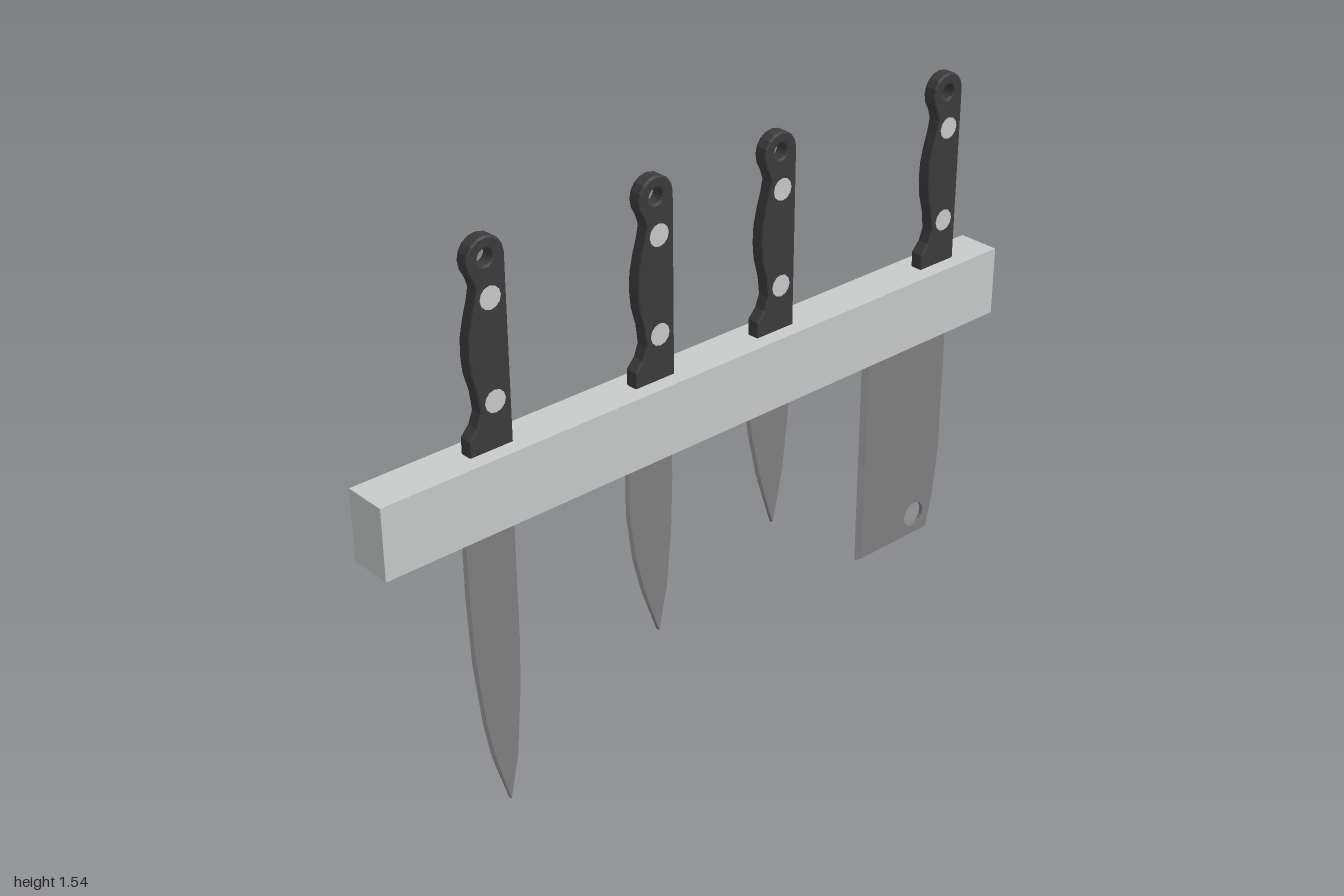
import * as THREE from 'three';

const material = (name, color, side = THREE.FrontSide) => {
  const m = new THREE.MeshStandardMaterial({ color, side });
  m.name = name;
  return m;
};

// Extrude a (z, y) outline symmetrically about x = 0
function slab(shape, thickness, bevel = 0) {
  const geometry = new THREE.ExtrudeGeometry(shape, {
    depth: thickness - 2 * bevel, curveSegments: 8,
    bevelEnabled: bevel > 0, bevelThickness: bevel, bevelSize: bevel,
    bevelOffset: -bevel, bevelSegments: 2,
  });
  return geometry.translate(0, 0, bevel - thickness / 2).rotateY(-Math.PI / 2);
}

function circleHole(z, y, r) {
  return new THREE.Path().absarc(z, y, r, 0, Math.PI * 2, true);
}

// Ground cutting edge: a thin wedge between the edge line and the blade body
function wedge(edge, inner, half) {
  const p = [];
  for (let i = 0; i < edge.length - 1; i++) {
    for (const s of [1, -1]) {
      const a = [0, edge[i][1], edge[i][0]], b = [0, edge[i + 1][1], edge[i + 1][0]];
      const c = [s * half, inner[i + 1][1], inner[i + 1][0]], d = [s * half, inner[i][1], inner[i][0]];
      const quad = s > 0 ? [a, b, c, a, c, d] : [a, c, b, a, d, c];
      quad.forEach(v => p.push(...v));
    }
  }
  const geometry = new THREE.BufferGeometry();
  geometry.setAttribute('position', new THREE.Float32BufferAttribute(p, 3));
  geometry.computeVertexNormals();
  return geometry;
}

// Handle outline: distance forward from the spine, height
function handleShape() {
  const shape = new THREE.Shape();
  shape.moveTo(0, 1.008);
  shape.lineTo(0, 1.49);
  shape.absarc(0.053, 1.487, 0.053, 0, Math.PI, false);
  return shape;
}

function makeHandleGeometry() {
  const front = [[0.123, 1.008], [0.123, 1.052], [0.1, 1.078], [0.088, 1.11], [0.094, 1.16],
    [0.108, 1.21], [0.112, 1.255], [0.11, 1.3], [0.1, 1.345], [0.088, 1.385],
    [0.082, 1.415], [0.09, 1.44], [0.102, 1.462]];
  const top = [];
  for (let i = 0; i <= 8; i++) {
    const a = Math.PI * i / 8;
    top.push([0.053 + 0.053 * Math.cos(a), 1.485 + 0.053 * Math.sin(a)]);
  }
  const outline = [...front, ...top, [0, 1.008]];
  const shape = new THREE.Shape(outline.map(([z, y]) => new THREE.Vector2(z, y)));
  shape.holes.push(circleHole(0.054, 1.487, 0.02));
  return slab(shape, 0.036, 0.005);
}

// Blade outlines from the top down, measured forward from the spine
const TOP = 1.0;
const knives = [
  { name: 'carvingKnife', z: 0.601, bevel: 0.008,
    edge: [[0.148, TOP], [0.148, 0.64], [0.14, 0.45], [0.119, 0.26], [0.098, 0.15], [0.049, 0]],
    spine: [[0.022, 0.125], [0.006, 0.31], [0, 0.45], [0, TOP]] },
  { name: 'chefKnife', z: 0.11, bevel: 0.008,
    edge: [[0.147, TOP], [0.147, 0.66], [0.129, 0.525], [0.102, 0.42], [0.048, 0.28]],
    spine: [[0.021, 0.405], [0.005, 0.57], [0, 0.71], [0, TOP]] },
  { name: 'paringKnife', z: -0.286, bevel: 0.008,
    edge: [[0.147, TOP], [0.147, 0.82], [0.134, 0.73], [0.107, 0.61], [0.048, 0.44]],
    spine: [[0.016, 0.59], [0, 0.75], [0, TOP]] },
  { name: 'cleaver', z: -0.876, bevel: 0.022, hole: [0.088, 0.24, 0.037],
    edge: [[0.315, TOP], [0.315, 0.18]],
    spine: [[0.035, 0.18], [0.014, 0.285], [0, 0.42], [0, TOP]] },
];

export function createModel() {
  const model = new THREE.Group();
  model.name = 'knifeRack';
  const rackGrey = material('rackGrey', 0xc8cbca);
  const steel = material('bladeSteel', 0x808080, THREE.DoubleSide);
  const black = material('handleBlack', 0x3c3c3c);
  const rivetGrey = material('rivetGrey', 0xc8cbca);

  const add = (parent, name, geometry, mat) => {
    const mesh = new THREE.Mesh(geometry, mat);
    mesh.name = name;
    parent.add(mesh);
    return mesh;
  };

  // Magnetic holder bar
  add(model, 'holderBar', new THREE.BoxGeometry(0.118, 0.19, 2), rackGrey).position.y = 0.915;

  const handle = makeHandleGeometry();
  const rivet = new THREE.CylinderGeometry(0.029, 0.029, 0.039, 12).rotateZ(Math.PI / 2);
  const thickness = 0.011;

  for (const k of knives) {
    const knife = new THREE.Group();
    knife.name = k.name;
    knife.position.z = k.z;
    model.add(knife);

    // Blade body with its ground edge; the bevel vanishes at a pointed tip
    const last = k.edge.length - 1;
    const pointed = k.name !== 'cleaver';
    const inner = k.edge.map(([z, y], i) => [z - (pointed && i === last ? 0 : k.bevel), y]);
    const shape = new THREE.Shape([...inner, ...k.spine].map(([z, y]) => new THREE.Vector2(z, y)));
    if (k.hole) shape.holes.push(circleHole(...k.hole));
    add(knife, 'blade', slab(shape, thickness), steel);
    add(knife, 'cuttingEdge', wedge(k.edge, inner, thickness / 2), steel);

    // Handle with two rivets
    add(knife, 'handle', handle, black);
    for (const y of [1.131, 1.388]) add(knife, 'rivet', rivet, rivetGrey).position.set(0, y, 0.046);
  }
  return model;
}
